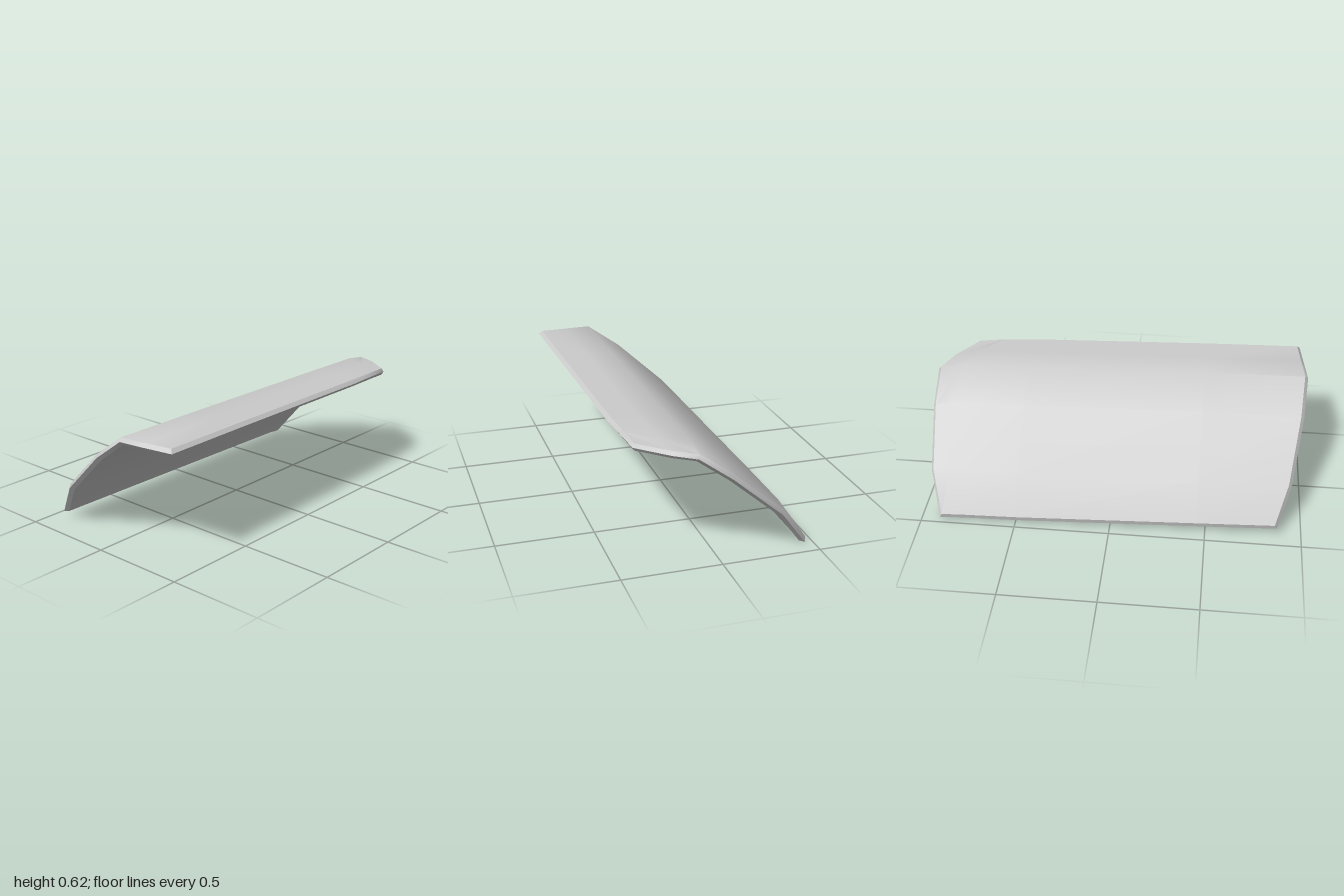
import * as THREE from 'three';
import { toCreasedNormals } from 'three/addons/utils/BufferGeometryUtils.js';

const THICKNESS = 0.037;
const BULGE = 0.017;

// Outer cross-sections from front to back; each runs from the low edge over the bends to the top flange
const SECTIONS = [
  [[-0.425, 0.075, 0.86], [-0.30, 0.25, 0.92], [-0.03, 0.495, 0.967], [0.155, 0.627, 0.98], [0.30, 0.63, 0.963], [0.445, 0.633, 0.945]],
  [[-0.437, 0.066, 0.45], [-0.307, 0.248, 0.45], [-0.036, 0.493, 0.45], [0.147, 0.622, 0.45], [0.292, 0.626, 0.45], [0.432, 0.628, 0.45]],
  [[-0.463, 0.045, -0.5], [-0.326, 0.24, -0.5], [-0.052, 0.482, -0.5], [0.127, 0.607, -0.5], [0.27, 0.611, -0.5], [0.403, 0.612, -0.5]],
  [[-0.467, 0.04, -0.82], [-0.332, 0.234, -0.86], [-0.058, 0.475, -0.88], [0.12, 0.60, -0.86], [0.255, 0.605, -0.80], [0.39, 0.607, -0.69]],
  [[-0.467, 0.034, -0.895], [-0.325, 0.222, -0.953], [-0.055, 0.457, -0.982], [0.12, 0.582, -0.982], [0.235, 0.59, -0.925], [0.375, 0.60, -0.815]],
];

function createPanelGeometry() {
  const rows = SECTIONS.length, cols = SECTIONS[0].length, count = rows * cols;
  const id = (i, j) => i * cols + j;
  const outer = SECTIONS.flat().map((p) => new THREE.Vector3(...p));
  const index = [];

  // Outer skin
  for (let i = 0; i < rows - 1; i++) {
    for (let j = 0; j < cols - 1; j++) {
      const a = id(i, j), b = id(i, j + 1), c = id(i + 1, j + 1), d = id(i + 1, j);
      index.push(a, b, d, b, c, d);
    }
  }
  const sheet = new THREE.BufferGeometry().setFromPoints(outer);
  sheet.setIndex(index.slice());
  sheet.computeVertexNormals();
  const normals = outer.map((_, k) => new THREE.Vector3().fromBufferAttribute(sheet.attributes.normal, k));

  // Inner skin, offset by the wall thickness and facing the other way
  const points = outer.concat(outer.map((p, k) => p.clone().addScaledVector(normals[k], -THICKNESS)));
  for (let k = 0, n = index.length; k < n; k += 3) {
    index.push(index[k] + count, index[k + 2] + count, index[k + 1] + count);
  }

  // Closed border: front, flange side, back, low side
  const border = [];
  for (let j = 0; j < cols - 1; j++) border.push([0, j]);
  for (let i = 0; i < rows - 1; i++) border.push([i, cols - 1]);
  for (let j = cols - 1; j > 0; j--) border.push([rows - 1, j]);
  for (let i = rows - 1; i > 0; i--) border.push([i, 0]);

  // Bulging middle line of the rim
  const clampIn = (v, n) => Math.min(Math.max(v, 1), n - 2);
  const middle = border.map(([i, j]) => {
    const p = outer[id(i, j)];
    const out = new THREE.Vector3();
    for (const k of [id(clampIn(i, rows), j), id(i, clampIn(j, cols))]) {
      if (k !== id(i, j)) out.add(p.clone().sub(outer[k]).normalize());
    }
    points.push(p.clone().addScaledVector(normals[id(i, j)], -THICKNESS / 2).addScaledVector(out, BULGE));
    return points.length - 1;
  });

  // Rim strips joining the two skins
  border.forEach(([i, j], k) => {
    const next = (k + 1) % border.length;
    const a = id(i, j), b = id(...border[next]), m = middle[k], n = middle[next];
    index.push(a, m, b, b, m, n);
    index.push(m, a + count, n, n, a + count, b + count);
  });

  const geometry = new THREE.BufferGeometry().setFromPoints(points);
  geometry.setIndex(index);
  return toCreasedNormals(geometry, 0.78);
}

export function createModel() {
  const group = new THREE.Group();
  group.name = 'bentPanel';
  const panel = new THREE.Mesh(createPanelGeometry(), new THREE.MeshStandardMaterial({ color: 0xcccccc }));
  panel.name = 'panelShell';
  group.add(panel);
  // Rest the low corner on the ground
  const box = new THREE.Box3().setFromObject(group);
  panel.position.y = -box.min.y;
  return group;
}
